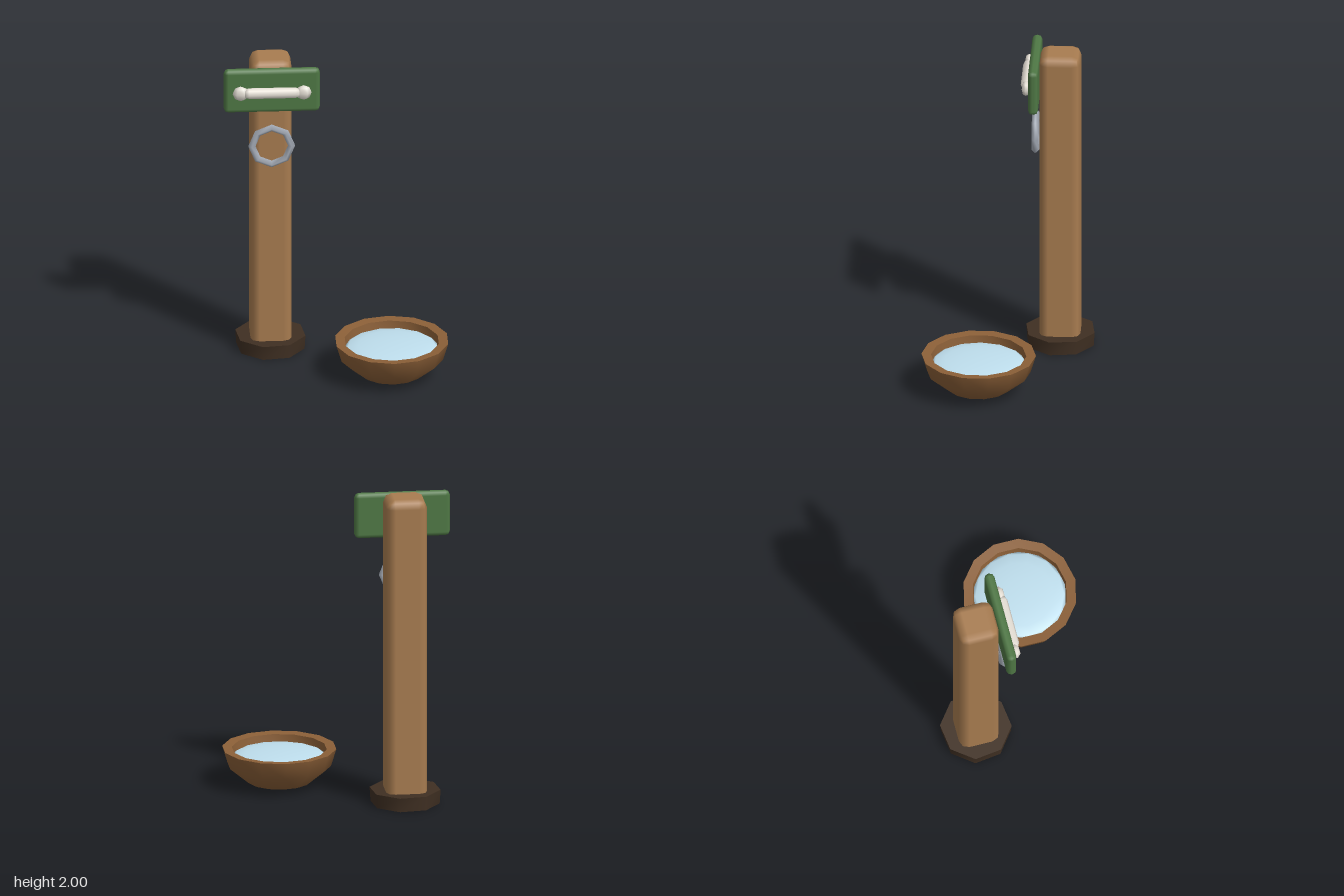
import * as THREE from 'three';
import { RoundedBoxGeometry } from 'three/addons/geometries/RoundedBoxGeometry.js';
import { toCreasedNormals } from 'three/addons/utils/BufferGeometryUtils.js';

const mat = (color) => new THREE.MeshStandardMaterial({ color });
const wood = mat(0xa87c50), darkWood = mat(0x3f2f22), bowlWood = mat(0x8c6038);
const green = mat(0x4f7845), ivory = mat(0xe6e0d6), steel = mat(0xa8afba), blue = mat(0xbfdfee);

export function createModel() {
  const model = new THREE.Group();
  const add = (name, geometry, material, x, y, z, parent = model) => {
    const mesh = new THREE.Mesh(geometry, material);
    mesh.name = name;
    mesh.position.set(x, y, z);
    parent.add(mesh);
    return mesh;
  };

  // Chamfered post standing in an eight-sided foot
  add('post', new RoundedBoxGeometry(0.257, 1.98, 0.257, 1, 0.055), wood, -0.4, 1.01, -0.303);
  const foot = toCreasedNormals(new THREE.CylinderGeometry(0.224, 0.218, 0.09, 8), 0.8);
  add('foot', foot, darkWood, -0.4, 0.045, -0.303).rotation.y = THREE.MathUtils.degToRad(-15);

  // Sign board on the front of the post
  add('signBoard', new RoundedBoxGeometry(0.6, 0.294, 0.063, 1, 0.028), green, -0.4, 1.834, -0.145);

  // Bone ornament: shaft with a knob at each end
  const bone = new THREE.Group();
  bone.name = 'bone';
  bone.position.set(-0.4, 1.832, -0.098);
  model.add(bone);
  const shaft = new THREE.CapsuleGeometry(0.036, 0.29, 2, 8).rotateZ(Math.PI / 2);
  add('boneShaft', shaft, ivory, 0, 0, 0, bone);
  for (const side of [-1, 1]) {
    const knob = add('boneKnob', new THREE.SphereGeometry(0.05, 6, 4), ivory, side * 0.197, 0, 0, bone);
    knob.scale.z = 0.6;
  }

  // Tether ring hanging flat against the post
  add('ring', new THREE.TorusGeometry(0.124, 0.023, 4, 8), steel, -0.4, 1.445, -0.15);

  // Faceted bowl with a thick flat rim and a hollow inside
  const profile = [
    [0, 0.025], [0.2, 0.025], [0.325, 0.13], [0.358, 0.24],
    [0.298, 0.235], [0.29, 0.16], [0, 0.1],
  ].map(([r, y]) => new THREE.Vector2(r, y));
  add('bowl', toCreasedNormals(new THREE.LatheGeometry(profile, 14), 0.75), bowlWood, 0.333, 0, 0.17);

  // Water filling the bowl, swelling slightly in the middle
  const water = new THREE.SphereGeometry(0.3, 14, 4, 0, Math.PI * 2, 0, Math.PI / 2);
  water.scale(1, 0.12, 1);
  add('water', water, blue, 0.333, 0.18, 0.17);

  return model;
}
